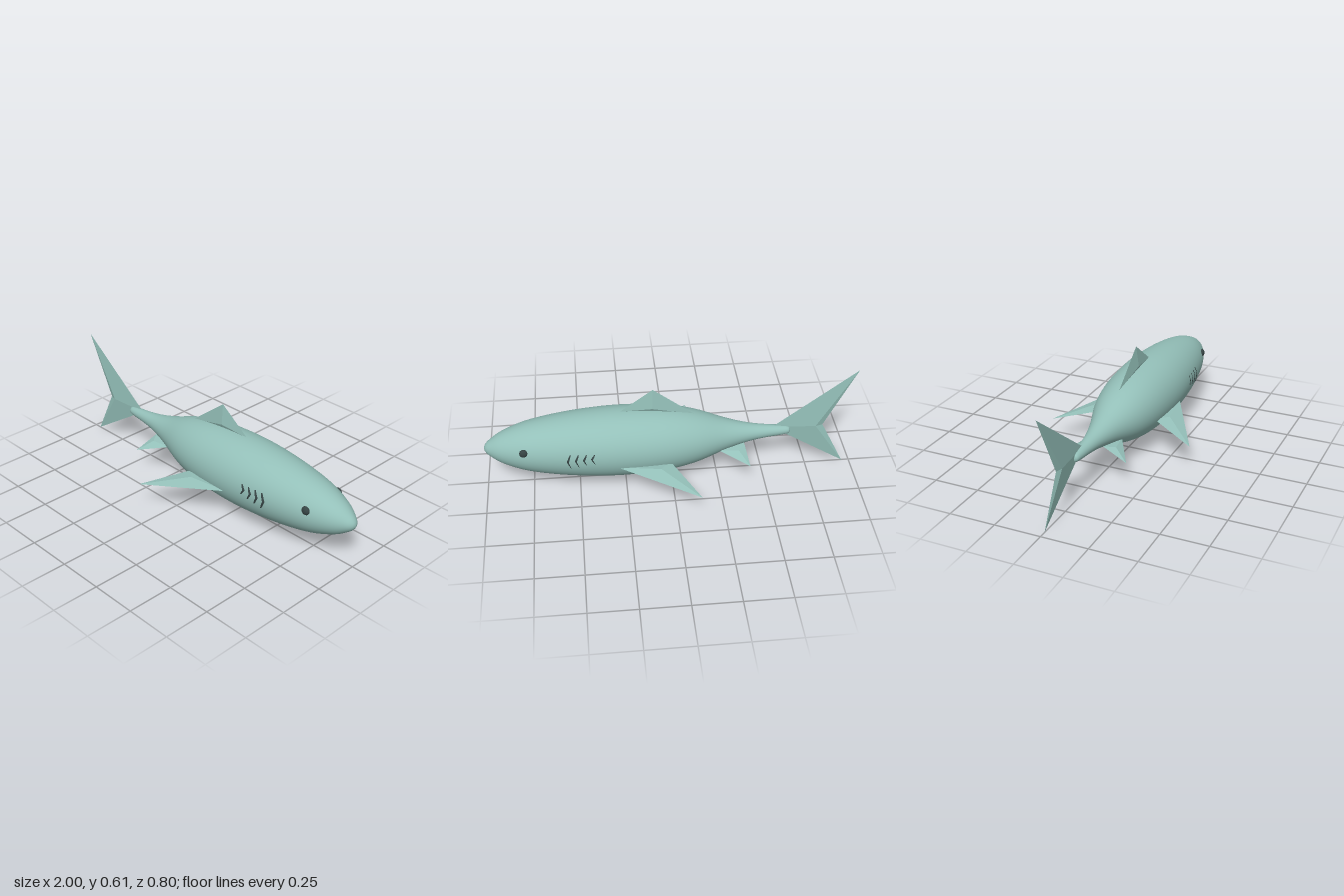
import * as THREE from 'three';

const AXIS_Y = 0.241;
const V = (x, y, z = 0) => new THREE.Vector3(x, y, z);

// Body radius along its length: [radius, x]
const profile = new THREE.SplineCurve([
  [0, -0.652], [0.02, -0.643], [0.028, -0.6], [0.036, -0.52], [0.052, -0.42], [0.085, -0.3],
  [0.145, -0.13], [0.178, 0.04], [0.19, 0.25], [0.183, 0.44], [0.163, 0.62],
  [0.132, 0.78], [0.088, 0.9], [0.045, 0.968], [0.02, 0.993], [0, 1],
].map(([r, x]) => new THREE.Vector2(r, x))).getPoints(75);
profile.forEach((p) => { p.x = Math.max(p.x, 0); });

function radiusAt(x) {
  const i = Math.max(1, profile.findIndex((p) => p.y >= x));
  const a = profile[i - 1], b = profile[i];
  return THREE.MathUtils.lerp(a.x, b.x, (x - a.y) / (b.y - a.y));
}

// Faceted fin: a flat outline raised to a ridge point on both sides
function finGeometry(outline, centre, half) {
  const area = V(0, 0, 0);
  outline.forEach((p, i) => area.add(p.clone().cross(outline[(i + 1) % outline.length])));
  const pts = area.dot(half) < 0 ? [...outline].reverse() : outline;
  const up = centre.clone().add(half), down = centre.clone().sub(half);
  const tris = [];
  pts.forEach((p, i) => {
    const q = pts[(i + 1) % pts.length];
    tris.push(p, q, up, q, p, down);
  });
  const geometry = new THREE.BufferGeometry().setFromPoints(tris);
  geometry.computeVertexNormals();
  return geometry;
}

// Chevron ribbon lying just above the body surface
function gillGeometry(x, height, side) {
  const top = 0.294, rows = 8, pos = [], index = [];
  for (let i = 0; i <= rows; i++) {
    const t = i / rows;
    const y = top - height * t;
    const cx = x + 0.016 * (1 - Math.abs(2 * t - 1));
    const width = 0.003 + 0.007 * Math.sin(Math.PI * t);
    for (const [dx, lift] of [[-width / 2, 0.009], [width / 2, 0.003]]) {
      const r = radiusAt(cx + dx);
      pos.push(cx + dx, y, side * (Math.sqrt(r * r - (y - AXIS_Y) ** 2) + lift));
    }
    if (i < rows) {
      const a = i * 2;
      index.push(a, a + 2, a + 1, a + 1, a + 2, a + 3);
    }
  }
  const geometry = new THREE.BufferGeometry();
  geometry.setAttribute('position', new THREE.Float32BufferAttribute(pos, 3));
  geometry.setIndex(side > 0 ? index : index.map((_, i) => index[i - (i % 3) + 2 - (i % 3)]));
  geometry.computeVertexNormals();
  return geometry;
}

export function createModel() {
  const skin = new THREE.MeshStandardMaterial({ color: 0x94c0b9 });
  skin.name = 'sea green skin';
  const finSkin = skin;
  const dark = new THREE.MeshStandardMaterial({ color: 0x364444, side: THREE.DoubleSide });
  dark.name = 'dark slate';

  const group = new THREE.Group();
  group.name = 'shark';
  const add = (name, geometry, material) => {
    const mesh = new THREE.Mesh(geometry, material);
    mesh.name = name;
    group.add(mesh);
    return mesh;
  };

  // Body: spindle turned around the long axis
  add('body', new THREE.LatheGeometry(profile, 64).rotateZ(-Math.PI / 2).translate(0, AXIS_Y, 0), skin);

  // Upright fins
  add('dorsalFin', finGeometry(
    [V(-0.125, 0.385), V(0.27, 0.428), V(0.095, 0.557)], V(0.1, 0.443), V(0, 0, 0.014)), finSkin);
  add('tailFin', finGeometry(
    [V(-1, 0.605), V(-0.83, 0.26), V(-0.96, 0), V(-0.55, 0.262)], V(-0.79, 0.26), V(0, 0, 0.012)), finSkin);

  // Paired fins, eyes and gills
  for (const s of [1, -1]) {
    const name = s > 0 ? 'right' : 'left';
    add(name + 'PectoralFin', finGeometry(
      [V(0.3, 0.194, s * 0.175), V(-0.125, 0.145, s * 0.402), V(0.02, 0.188, s * 0.14)],
      V(0.07, 0.18, s * 0.208), V(0, 0.014, s * 0.003)), finSkin);
    add(name + 'PelvicFin', finGeometry(
      [V(-0.25, 0.186, s * 0.075), V(-0.412, 0.139, s * 0.172), V(-0.395, 0.197, s * 0.035)],
      V(-0.36, 0.178, s * 0.088), V(0, 0.009, s * 0.004)), finSkin);

    const eye = add(name + 'Eye', new THREE.SphereGeometry(0.023, 24, 16), dark);
    eye.position.set(0.785, 0.283, s * 0.121);
    eye.scale.z = 0.65;

    [[0.416, 0.055], [0.458, 0.067], [0.5, 0.077], [0.542, 0.086]].forEach(([x, h], i) =>
      add(name + 'Gill' + (i + 1), gillGeometry(x, h, s), dark));
  }
  return group;
}
